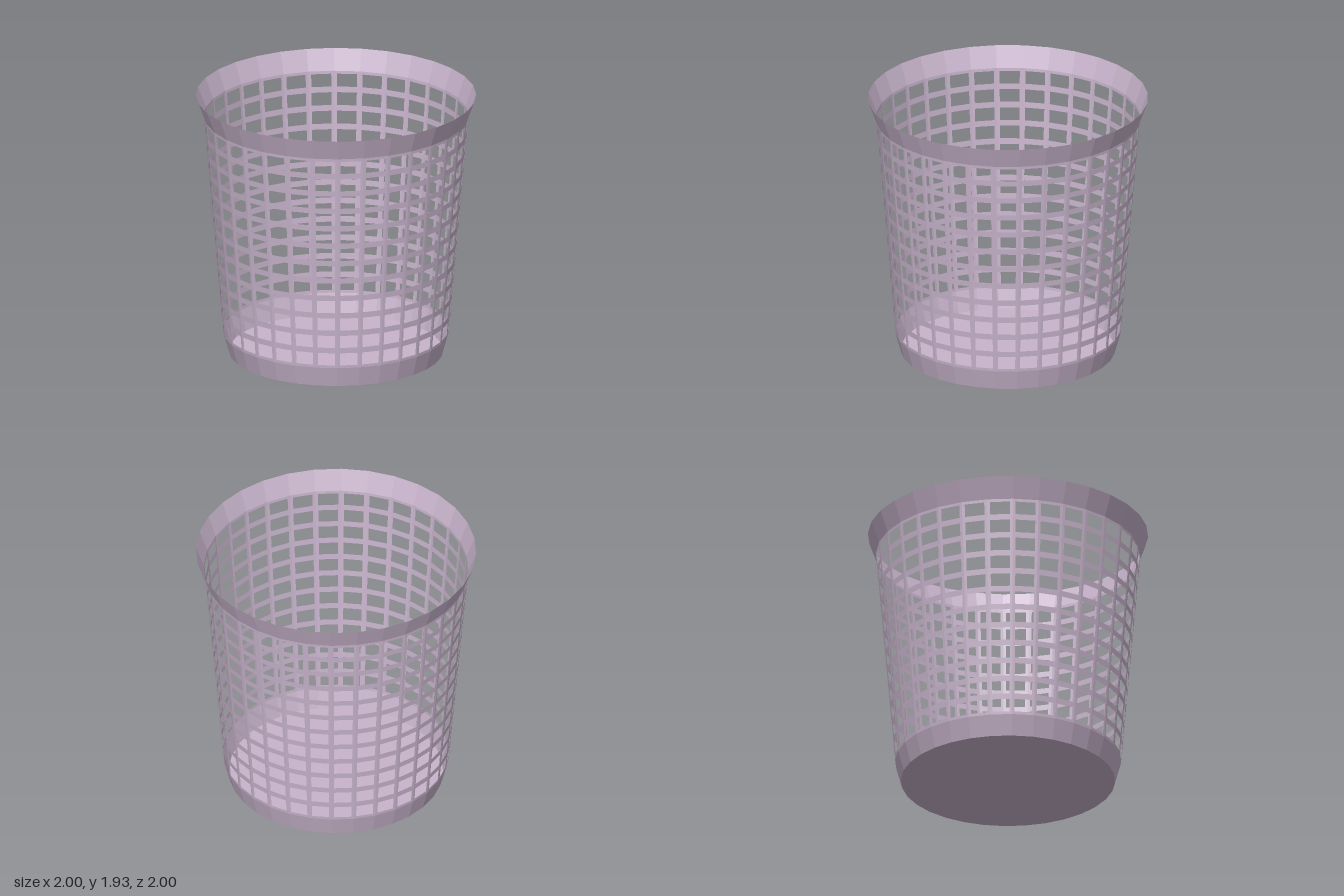
import * as THREE from 'three';

const SIDES = 32, ROWS = 12;
const LOW = { y: 0.15, r: 0.806 }, HIGH = { y: 1.78, r: 0.944 };
const PITCH = (HIGH.y - LOW.y) / ROWS;
const HALF_RING = 0.021; // half the height of a horizontal strip
const HALF_POST = 0.11;  // half a post's width, as a share of one side

const material = new THREE.MeshStandardMaterial({
  color: 0xc8b4cc, flatShading: true, side: THREE.DoubleSide,
});

const wallRadius = (y) => THREE.MathUtils.mapLinear(y, LOW.y, HIGH.y, LOW.r, HIGH.r);

// Open, faceted band between two heights
function band(name, y0, r0, y1, r1) {
  const geometry = new THREE.CylinderGeometry(r1, r0, y1 - y0, SIDES, 1, true);
  geometry.translate(0, (y0 + y1) / 2, 0);
  const mesh = new THREE.Mesh(geometry, material);
  mesh.name = name;
  return mesh;
}

const wallBand = (name, y0, y1) => band(name, y0, wallRadius(y0), y1, wallRadius(y1));

// Point on the faceted wall; u counts sides around the basket
function wallPoint(u, y) {
  const corner = (i) => {
    const a = (i / SIDES) * Math.PI * 2, r = wallRadius(y);
    return new THREE.Vector3(Math.sin(a) * r, y, Math.cos(a) * r);
  };
  const i = Math.floor(u);
  return corner(i).lerp(corner(i + 1), u - i);
}

// Upright strips folded over every corner, filling the gaps between the rings
function postGeometry() {
  const positions = [];
  const quad = (u0, u1, y0, y1) => {
    const a = wallPoint(u0, y0), b = wallPoint(u1, y0);
    const c = wallPoint(u1, y1), d = wallPoint(u0, y1);
    for (const p of [a, b, c, a, c, d]) positions.push(p.x, p.y, p.z);
  };
  for (let i = 0; i < SIDES; i++) {
    for (let row = 0; row < ROWS; row++) {
      const y0 = LOW.y + row * PITCH + HALF_RING;
      const y1 = LOW.y + (row + 1) * PITCH - HALF_RING;
      quad(i - HALF_POST, i, y0, y1);
      quad(i, i + HALF_POST, y0, y1);
    }
  }
  const geometry = new THREE.BufferGeometry();
  geometry.setAttribute('position', new THREE.Float32BufferAttribute(positions, 3));
  geometry.computeVertexNormals();
  return geometry;
}

export function createModel() {
  const basket = new THREE.Group();
  basket.name = 'basket';

  // Floor
  const floorGeometry = new THREE.CircleGeometry(0.765, SIDES);
  floorGeometry.rotateX(-Math.PI / 2);
  const floor = new THREE.Mesh(floorGeometry, material);
  floor.name = 'floor';
  basket.add(floor);

  // Solid foot and flared rim, each with a narrow border on the lattice wall
  basket.add(
    band('foot', 0, 0.765, LOW.y, LOW.r),
    wallBand('footBorder', LOW.y, LOW.y + HALF_RING),
    wallBand('rimBorder', HIGH.y - HALF_RING, HIGH.y),
    band('rim', HIGH.y, HIGH.r, 1.933, 1),
  );

  // Lattice wall
  const lattice = new THREE.Group();
  lattice.name = 'lattice';
  for (let row = 1; row < ROWS; row++) {
    const y = LOW.y + row * PITCH;
    lattice.add(wallBand('ring', y - HALF_RING, y + HALF_RING));
  }
  const posts = new THREE.Mesh(postGeometry(), material);
  posts.name = 'posts';
  lattice.add(posts);
  basket.add(lattice);

  return basket;
}
